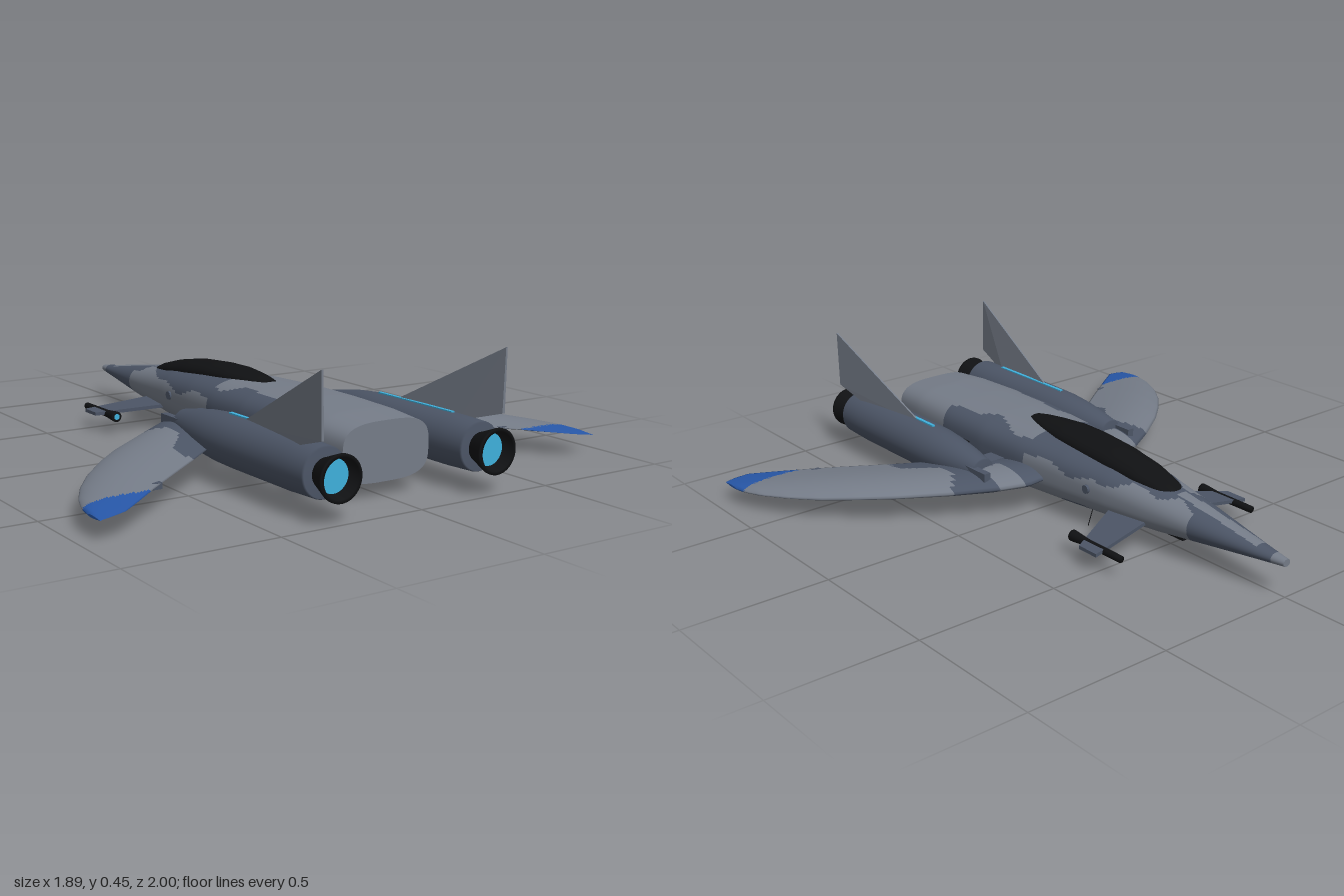
import * as THREE from 'three';
import { ConvexGeometry } from 'three/addons/geometries/ConvexGeometry.js';

const mat = (name, color) => {
  const m = new THREE.MeshStandardMaterial({ color });
  m.name = name;
  return m;
};

// Linear lookup in a table of [t, a, b, ...] rows
function lookup(rows, t) {
  let i = 0;
  while (i < rows.length - 2 && t > rows[i + 1][0]) i++;
  const [a, b] = [rows[i], rows[i + 1]];
  const k = THREE.MathUtils.clamp((t - a[0]) / (b[0] - a[0]), 0, 1);
  return a.slice(1).map((v, j) => v + (b[j + 1] - v) * k);
}

// Closed skin through rings of points; paint(centre) gives the material index
function loft(rings, paint = () => 0) {
  const n = rings[0].length, pos = [], buckets = [];
  rings.forEach(r => r.forEach(p => pos.push(p.x, p.y, p.z)));
  const add = (where, ...ids) => {
    const m = paint(where);
    (buckets[m] ||= []).push(...ids);
  };
  for (let i = 0; i < rings.length - 1; i++) for (let j = 0; j < n; j++) {
    const k = (j + 1) % n, a = i * n + j, b = i * n + k, c = b + n, d = a + n;
    add(rings[i][j].clone().lerp(rings[i + 1][k], 0.5), a, b, c, a, c, d);
  }
  // end caps with their own vertices, so the rims stay sharp
  [rings[0], rings.at(-1)].forEach((r, end) => {
    const base = pos.length / 3;
    const mid = r.reduce((s, p) => s.add(p), new THREE.Vector3()).divideScalar(n);
    [...r, mid].forEach(p => pos.push(p.x, p.y, p.z));
    for (let j = 0; j < n; j++) {
      const k = (j + 1) % n;
      add(mid, base + n, base + (end ? j : k), base + (end ? k : j));
    }
  });
  const g = new THREE.BufferGeometry(), index = [];
  g.setAttribute('position', new THREE.Float32BufferAttribute(pos, 3));
  buckets.forEach((b, m) => {
    g.addGroup(index.length, b.length, m);
    for (const v of b) index.push(v);
  });
  g.setIndex(index);
  g.computeVertexNormals();
  return g;
}

// Copy on the other side of x = 0 with the winding put right
function mirrored(geo) {
  const g = geo.index ? geo.toNonIndexed() : geo.clone();
  g.scale(-1, 1, 1);
  for (const key of ['position', 'normal']) {
    const a = g.attributes[key].array;
    for (let i = 0; i < a.length; i += 9) for (let c = 0; c < 3; c++)
      [a[i + 3 + c], a[i + 6 + c]] = [a[i + 6 + c], a[i + 3 + c]];
  }
  return g;
}

// Body of revolution along z from [radius, z] pairs
const turned = (pts, x, y) => new THREE.LatheGeometry(pts.map(p => new THREE.Vector2(...p)), 40)
  .rotateX(Math.PI / 2).translate(x, y, 0);
const hull = pts => new ConvexGeometry(pts.map(p => new THREE.Vector3(...p)));
const box = (w, h, d, x, y, z) => new THREE.BoxGeometry(w, h, d).translate(x, y, z);

export function createModel() {
  const root = new THREE.Group();
  root.name = 'starfighter';
  const light = mat('light grey', 0x757c88), slate = mat('slate', 0x4c5566);
  const black = mat('black', 0x101113), blue = mat('blue', 0x2757a8);
  const cyan = mat('glow cyan', 0x3fb0dc);
  const add = (name, geo, material) => {
    const m = new THREE.Mesh(geo, material);
    m.name = name;
    root.add(m);
  };
  const pair = (name, geo, material) => {
    add(name + 'Left', geo, material);
    add(name + 'Right', mirrored(geo), material);
  };

  // Fuselage: z, half width, bottom, top, squareness
  const body = [
    [-1, 0.015, 0.105, 0.13, 2], [-0.9, 0.034, 0.095, 0.143, 2], [-0.65, 0.08, 0.068, 0.183, 2.1],
    [-0.5, 0.102, 0.053, 0.203, 2.3], [-0.3, 0.132, 0.042, 0.23, 2.5], [-0.1, 0.155, 0.034, 0.245, 2.7],
    [0.1, 0.175, 0.03, 0.252, 2.9], [0.3, 0.187, 0.028, 0.256, 3.1], [0.5, 0.185, 0.03, 0.255, 3.2],
    [0.7, 0.176, 0.038, 0.25, 3.3], [0.83, 0.165, 0.05, 0.24, 3.3]];
  const bodyRings = [];
  for (let i = 0; i <= 120; i++) {
    const z = -1 + 1.83 * i / 120, [w, lo, hi, n] = lookup(body, z), ring = [];
    for (let j = 0; j < 72; j++) {
      const t = j / 72 * Math.PI * 2, c = Math.cos(t), s = Math.sin(t);
      ring.push(new THREE.Vector3(w * Math.sign(c) * Math.abs(c) ** (2 / n),
        (lo + hi) / 2 + (hi - lo) / 2 * Math.sign(s) * Math.abs(s) ** (2 / n), z));
    }
    bodyRings.push(ring);
  }
  // Two-tone camouflage in soft patches
  const camo = ({ x, y, z }) => {
    const wave = Math.sin(13 * z + 1) * 0.6 + Math.sin(31 * z + 20 * x) * 0.4;
    if (z < -0.96) return 0;
    if (z < -0.65) return Math.abs(x) < 0.02 && y > 0.12 && z > -0.9 ? 0 : 1;
    if (z < 0.06) {
      if (y < 0.07) return Math.sin(9 * z + 25 * x) > 0.75 ? 1 : 0;
      return y > 0.185 + 0.02 * wave && !(z < -0.55 && Math.abs(x) < 0.02) ? 1 : 0;
    }
    return z < 0.52 && y > 0.13 && Math.abs(x) > 0.125 + 0.03 * wave ? 1 : 0;
  };
  add('fuselage', loft(bodyRings, camo), [light, slate]);

  // Canopy: z, half width, base, top
  const glass = [
    [-0.53, 0.035, 0.18, 0.198], [-0.48, 0.052, 0.19, 0.218], [-0.38, 0.07, 0.205, 0.244],
    [-0.25, 0.079, 0.215, 0.266], [-0.1, 0.081, 0.23, 0.276], [0, 0.076, 0.238, 0.277],
    [0.1, 0.06, 0.24, 0.271], [0.16, 0.044, 0.243, 0.266], [0.205, 0.03, 0.243, 0.259]];
  const glassRings = [];
  for (let i = 0; i <= 40; i++) {
    const z = -0.53 + 0.735 * i / 40, [w, lo, hi] = lookup(glass, z), ring = [];
    for (let j = 0; j < 36; j++) {
      const t = j / 36 * Math.PI * 2, s = Math.sin(t);
      ring.push(new THREE.Vector3(w * Math.cos(t), lo + (s > 0 ? (hi - lo) * s ** 0.8 : 0.03 * s), z));
    }
    glassRings.push(ring);
  }
  add('canopy', loft(glassRings), black);

  // Swept wings: x, leading z, trailing z, mid height, half thickness
  const plan = [
    [0.15, -0.035, 0.23, 0.125, 0.03], [0.22, -0.035, 0.28, 0.12, 0.036], [0.32, 0.015, 0.36, 0.112, 0.035],
    [0.45, 0.1, 0.46, 0.103, 0.031], [0.6, 0.21, 0.575, 0.096, 0.028], [0.7, 0.3, 0.65, 0.09, 0.025],
    [0.79, 0.395, 0.72, 0.082, 0.021], [0.86, 0.49, 0.772, 0.076, 0.016], [0.91, 0.58, 0.78, 0.07, 0.012],
    [0.935, 0.65, 0.78, 0.066, 0.008], [0.943, 0.7, 0.78, 0.064, 0.004]];
  const wingRings = [], chord = 44;
  for (let i = 0; i <= 60; i++) {
    const x = 0.15 + 0.793 * (1 - (1 - i / 60) ** 1.6), [le, te, mid, th] = lookup(plan, x), ring = [];
    for (let j = 0; j < chord * 2; j++) {
      const top = j < chord, v = top ? j / chord : 2 - j / chord;
      ring.push(new THREE.Vector3(x, mid + (top ? 1 : -1) * th * Math.sin(Math.PI * v ** 0.7),
        le + (te - le) * v));
    }
    wingRings.push(ring);
  }
  const wingPaint = ({ x, z }) => {
    if (z > 0.66 && x > 0.6) return 2;
    const edge = 0.43 + 0.05 * Math.sin(17 * z + 1);
    return x < edge && !(x > 0.24 && x < 0.31 && z < 0.13) ? 1 : 0;
  };
  pair('wing', loft(wingRings, wingPaint), [light, slate, blue]);

  // Engine pods with flared nozzles and glowing exhausts
  const ex = 0.295, ey = 0.137;
  pair('engine', turned([[0, 0.13], [0.043, 0.13], [0.046, 0.135], [0.062, 0.22], [0.074, 0.3], [0.082, 0.39],
    [0.084, 0.5], [0.084, 0.8], [0.08, 0.915], [0.076, 0.922], [0, 0.922]], ex, ey), slate);
  pair('nozzle', turned([[0.045, 0.915], [0.05, 0.93], [0.073, 0.992], [0.073, 1], [0.062, 1],
    [0.05, 0.95], [0, 0.945]], ex, ey), black);
  pair('exhaustGlow', new THREE.CircleGeometry(0.052, 40).translate(ex, ey, 0.962), cyan);
  pair('engineLight', box(0.012, 0.009, 0.37, ex + 0.002, ey + 0.083, 0.605), cyan);

  // Pylons joining pods and fuselage
  for (const z of [0.2, 0.47, 0.7]) pair('pylon', box(0.08, 0.045, 0.07, 0.205, 0.125, z), slate);
  pair('pylonRail', box(0.014, 0.02, 0.13, 0.202, 0.15, 0.41), black);

  // Outward-leaning tail fins
  const finCorners = [[0.296, 0.2, 0.48], [0.345, 0.45, 0.97], [0.341, 0.245, 0.97], [0.318, 0.195, 0.8]];
  const finHalf = [0.003, 0.003, 0.005, 0.01];
  pair('tailFin', hull(finCorners.flatMap(([x, y, z], i) =>
    [[x - finHalf[i], y, z], [x + finHalf[i], y, z]])), light);

  // Canards with tip guns
  const canard = [[0.08, 0.095, -0.475], [0.338, 0.066, -0.512], [0.338, 0.066, -0.43], [0.08, 0.095, -0.305]];
  pair('canard', hull(canard.flatMap(([x, y, z]) => [[x, y - 0.006, z], [x, y + 0.006, z]])), slate);
  pair('canardGun', turned([[0, -0.582], [0.012, -0.582], [0.013, -0.42], [0.019, -0.355], [0.019, -0.348],
    [0, -0.348]], 0.295, 0.066), black);
  pair('canardGunGlow', new THREE.CircleGeometry(0.011, 20).translate(0.295, 0.066, -0.346), cyan);

  // Belly bays, wing hinges and small fittings
  add('noseBay', box(0.05, 0.02, 0.24, 0, 0.056, -0.46), black);
  add('bellyBay', box(0.11, 0.012, 0.26, 0, 0.031, 0.1), black);
  add('tailHook', box(0.03, 0.03, 0.03, 0, 0.033, 0.55), black);
  pair('sidePort', new THREE.CylinderGeometry(0.015, 0.015, 0.012, 20).rotateZ(Math.PI / 2)
    .translate(0.141, 0.148, -0.235), slate);
  pair('wingHinge', box(0.03, 0.02, 0.045, 0.675, 0.085, 0.6), slate);
  pair('wingRootHinge', box(0.025, 0.03, 0.12, 0.33, 0.145, 0.12), slate);
  add('antenna', new THREE.CylinderGeometry(0.0015, 0.0015, 0.06, 6).rotateZ(0.35)
    .translate(0.108, 0.03, -0.22), black);
  return root;
}
